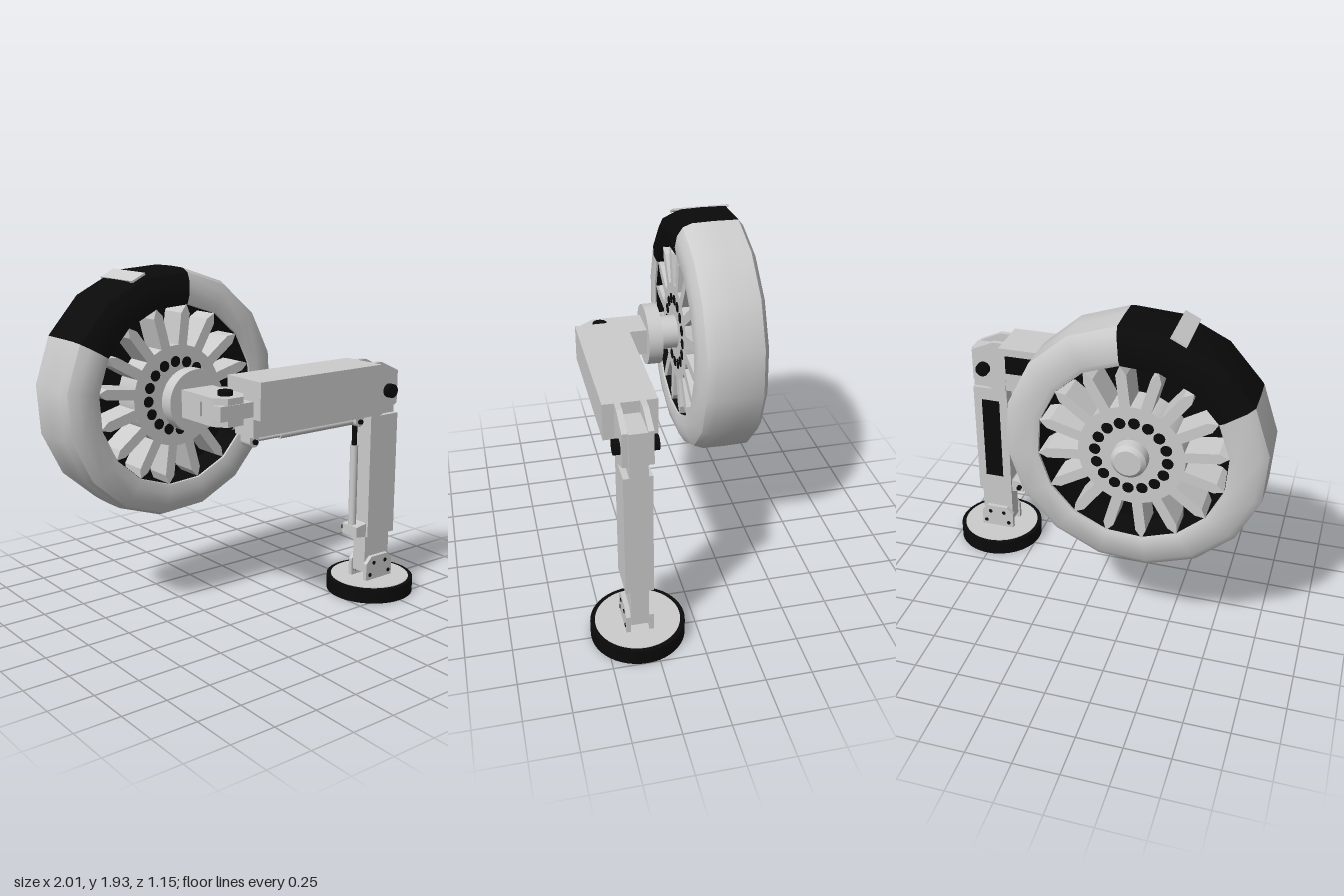
import * as THREE from 'three';
import { toCreasedNormals } from 'three/addons/utils/BufferGeometryUtils.js';

const grey = new THREE.MeshStandardMaterial({ color: 0xcccccc });
const black = new THREE.MeshStandardMaterial({ color: 0x0a0a0a });
const blackThin = new THREE.MeshStandardMaterial({ color: 0x0a0a0a, side: THREE.DoubleSide });
const rad = THREE.MathUtils.degToRad;

function add(parent, name, geometry, material = grey) {
  const mesh = new THREE.Mesh(geometry, material);
  mesh.name = name;
  parent.add(mesh);
  return mesh;
}

// Box given by its limits on each axis
function box(parent, name, [x0, x1], [y0, y1], [z0, z1], material) {
  const g = new THREE.BoxGeometry(x1 - x0, y1 - y0, z1 - z0);
  g.translate((x0 + x1) / 2, (y0 + y1) / 2, (z0 + z1) / 2);
  return add(parent, name, g, material);
}

// Cylinder between two limits along one axis; a and b are the other two coordinates in xyz order
function rod(parent, name, axis, a, b, from, to, r, material, sides = 24) {
  const g = new THREE.CylinderGeometry(r, r, to - from, sides);
  const mid = (from + to) / 2;
  if (axis === 'x') g.rotateZ(-Math.PI / 2).translate(mid, a, b);
  else if (axis === 'y') g.translate(a, mid, b);
  else g.rotateX(Math.PI / 2).translate(a, b, mid);
  return add(parent, name, g, material);
}

// Outline in x, y extruded along z
function plate(parent, name, outline, z0, z1, material) {
  const shape = new THREE.Shape(outline.map(p => new THREE.Vector2(...p)));
  const g = new THREE.ExtrudeGeometry(shape, { depth: z1 - z0, bevelEnabled: false });
  g.translate(0, 0, z0);
  return add(parent, name, g, material);
}

// Profile of [radius, z] turned about the z axis between two angles
function turned(parent, name, profile, start, sweep, segments, material) {
  const points = profile.map(p => new THREE.Vector2(...p));
  const g = new THREE.LatheGeometry(points, segments, rad(start + 90), rad(sweep));
  g.rotateX(Math.PI / 2);
  return add(parent, name, toCreasedNormals(g, 0.6), material);
}

function buildWheel() {
  const wheel = new THREE.Group();
  wheel.name = 'wheel';
  wheel.position.set(-0.32, 1.24, 0);
  const step = 22.5, first = 82.5;

  // Tyre with a dark sector three facets long
  const tyre = [[0.5, -0.5], [0.53, -0.51], [0.65, -0.49], [0.69, -0.46], [0.693, -0.32],
    [0.69, -0.2], [0.67, -0.15], [0.62, -0.12], [0.55, -0.11], [0.5, -0.12], [0.5, -0.5]];
  turned(wheel, 'tyreDarkSector', tyre, first, 3 * step, 3, black);
  turned(wheel, 'tyre', tyre, first + 3 * step, 13 * step, 13, grey);
  turned(wheel, 'rimBarrel', [[0.497, -0.13], [0.497, -0.49]], first, 360, 16, blackThin);
  turned(wheel, 'rimWeb', [[0.2, -0.33], [0.5, -0.33], [0.5, -0.29], [0.2, -0.29]], first, 360, 16, black);

  // Light patch on the dark tread
  const patch = add(wheel, 'treadPatch', new THREE.BoxGeometry(0.09, 0.012, 0.32));
  const n = rad(first + 1.5 * step), v = rad(first + step);
  patch.position.set(0.69 * Math.cos(v) - 0.04 * Math.sin(n), 0.69 * Math.sin(v) + 0.04 * Math.cos(n), -0.32);
  patch.rotation.z = n - Math.PI / 2;

  // Hub, spokes and the ring of dark holes on both faces
  rod(wheel, 'hub', 'z', 0, 0, -0.5, -0.13, 0.28, grey, 32);
  const spoke = [[0.26, -0.028], [0.45, -0.028], [0.5, 0], [0.45, 0.028], [0.26, 0.028]];
  for (let i = 0; i < 16; i++) {
    const a = rad(first + step * i);
    plate(wheel, 'spoke', spoke, -0.5, -0.13).rotation.z = a;
    const b = a + rad(step / 2);
    rod(wheel, 'hubHole', 'z', 0.19 * Math.cos(b), 0.19 * Math.sin(b), -0.503, -0.127, 0.03, black, 16);
  }

  // Axle, its rounded cap and the mounting flange
  turned(wheel, 'axle', [[0, -0.575], [0.07, -0.575], [0.092, -0.555], [0.095, -0.53], [0.095, 0]], 0, 360, 32, grey);
  rod(wheel, 'flange', 'z', 0, 0, -0.025, 0.055, 0.173, grey, 40);
  return wheel;
}

function buildArm() {
  const arm = new THREE.Group();
  arm.name = 'arm';

  // Knuckle between flange and beam
  box(arm, 'knuckle', [-0.42, -0.22], [1.165, 1.315], [0.05, 0.22]);
  const lug = [[-0.42, -0.21], [-0.42, -0.33], [-0.37, -0.395], [-0.27, -0.395], [-0.22, -0.33], [-0.22, -0.21]];
  for (const y of [1.165, 1.28]) {
    const m = plate(arm, 'knuckleLug', lug, 0, 0.035);
    m.rotation.x = -Math.PI / 2;
    m.position.y = y;
  }
  box(arm, 'beamTongue', [-0.42, -0.2], [1.2, 1.28], [0.24, 0.4]);
  rod(arm, 'knucklePin', 'y', -0.32, 0.305, 1.14, 1.34, 0.04, black);

  // Beam with a dark channel on its back
  box(arm, 'beam', [-0.21, 0.65], [1.187, 1.39], [0.18, 0.46]);
  box(arm, 'beamKeel', [-0.21, 0.66], [1.085, 1.19], [0.245, 0.4]);
  box(arm, 'beamChannel', [-0.17, 0.61], [1.235, 1.345], [0.177, 0.2], black);

  // Forked beam end around the leg
  const fork = [[0.64, 1.08], [0.71, 1.08], [0.84, 1.14], [0.84, 1.33], [0.71, 1.39], [0.64, 1.39]];
  for (const z of [0.24, 0.37]) plate(arm, 'beamFork', fork, z, z + 0.03);
  rod(arm, 'elbowPin', 'z', 0.77, 1.22, 0.205, 0.435, 0.04, black);
  return arm;
}

function buildLeg() {
  const leg = new THREE.Group();
  leg.name = 'leg';
  box(leg, 'legTongue', [0.66, 0.85], [1.06, 1.33], [0.272, 0.368]);
  box(leg, 'upperLeg', [0.64, 0.85], [0.36, 1.08], [0.25, 0.4]);
  box(leg, 'legChannel', [0.69, 0.8], [0.47, 1.0], [0.247, 0.27], black);
  box(leg, 'lowerLeg', [0.65, 0.84], [0.13, 0.37], [0.275, 0.372]);

  // Ankle plates with bolts
  const ankle = [[0.64, 0.08], [0.845, 0.08], [0.845, 0.19], [0.81, 0.23], [0.68, 0.23], [0.64, 0.19]];
  for (const [z, out] of [[0.25, 0.247], [0.375, 0.403]]) {
    plate(leg, 'anklePlate', ankle, z, z + 0.025);
    for (const [x, y] of [[0.7, 0.19], [0.79, 0.19], [0.67, 0.12], [0.82, 0.12]])
      rod(leg, 'ankleBolt', 'z', x, y, Math.min(z, out), Math.max(z + 0.025, out), 0.012, black, 12);
  }

  // Round foot with a dark tread
  rod(leg, 'footTread', 'y', 0.745, 0.32, 0, 0.085, 0.255, black, 48);
  rod(leg, 'footPlate', 'y', 0.745, 0.32, 0.06, 0.089, 0.23, grey, 48);
  return leg;
}

function buildActuators() {
  const set = new THREE.Group();
  set.name = 'actuators';
  const z = 0.32;

  // Actuator under the beam
  rod(set, 'beamRod', 'x', 1.053, z, -0.17, 0.04, 0.012);
  rod(set, 'beamCylinder', 'x', 1.053, z, 0.03, 0.56, 0.02);
  box(set, 'beamBracket', [-0.2, -0.14], [1.05, 1.1], [0.28, 0.36]);
  box(set, 'elbowBracket', [0.56, 0.62], [1.05, 1.1], [0.28, 0.36]);
  for (const x of [-0.17, 0.59]) {
    rod(set, 'bracketEye', 'z', x, 1.053, 0.28, 0.36, 0.03);
    rod(set, 'bracketPin', 'z', x, 1.053, 0.265, 0.375, 0.014, black, 16);
  }

  // Actuator along the leg
  rod(set, 'legRod', 'y', 0.59, z, 0.9, 1.05, 0.015, black);
  rod(set, 'legCylinder', 'y', 0.59, z, 0.38, 0.91, 0.023);
  const foot = [[0.565, 0.37], [0.65, 0.36], [0.65, 0.45], [0.635, 0.44], [0.565, 0.43]];
  plate(set, 'legBracket', foot, 0.265, 0.385);
  rod(set, 'legBracketPin', 'z', 0.59, 0.4, 0.245, 0.38, 0.015, black, 16);
  return set;
}

export function createModel() {
  const model = new THREE.Group();
  model.name = 'wheelWithFoldingLeg';
  model.add(buildWheel(), buildArm(), buildLeg(), buildActuators());
  return model;
}
